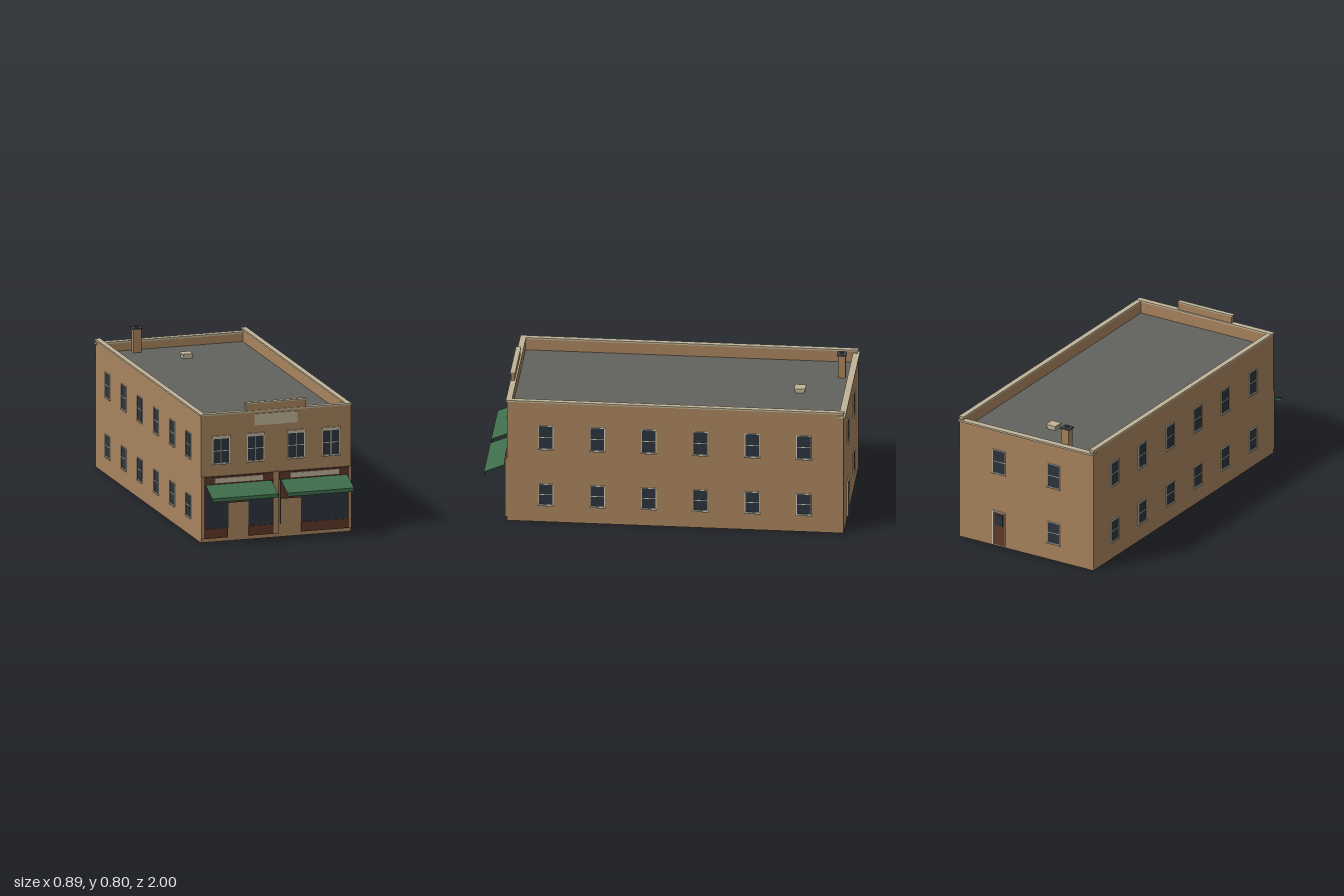
import * as THREE from 'three';

const mat = (name, color) => {
  const m = new THREE.MeshStandardMaterial({ color });
  m.name = name;
  return m;
};

export function createModel() {
  const brick = mat('tan brick', 0xa8835d);
  const stone = mat('cream stone', 0xbfb398);
  const trim = mat('pale window trim', 0xc9c6b4);
  const glass = mat('dark glass', 0x2c343d);
  const wood = mat('brown wood', 0x5e3829);
  const canvas = mat('green canvas', 0x3f6e4c);
  const tar = mat('grey roofing', 0x62625d);
  const slate = mat('dark slate', 0x45464a);

  const model = new THREE.Group();
  model.name = 'shopBuilding';

  // Box given by its extents
  const box = (name, m, x0, x1, y0, y1, z0, z1, parent = model) => {
    const mesh = new THREE.Mesh(new THREE.BoxGeometry(x1 - x0, y1 - y0, z1 - z0), m);
    mesh.position.set((x0 + x1) / 2, (y0 + y1) / 2, (z0 + z1) / 2);
    mesh.name = name;
    parent.add(mesh);
    return mesh;
  };

  // Body, roof and parapets
  const W = 0.435, F = 0.87, B = -0.99, T = 0.024;
  box('body', brick, -W, W, 0, 0.645, B, F);
  box('roof', tar, -W + T, W - T, 0.645, 0.65, B + T, F - T);
  box('frontParapet', brick, -W, W, 0.645, 0.717, F - T, F);
  box('backParapet', brick, -W, W, 0.645, 0.695, B, B + T);
  box('frontCoping', stone, -W - 0.004, W + 0.004, 0.717, 0.726, F - T - 0.003, F + 0.006);
  box('backCoping', stone, -W - 0.005, W + 0.005, 0.695, 0.705, -1, B + T + 0.003);
  for (const s of [-1, 1]) {
    const side = (name, m, a, b, y0, y1, z0, z1) =>
      box(name, m, Math.min(s * a, s * b), Math.max(s * a, s * b), y0, y1, z0, z1);
    side('sideParapet', brick, W - T, W, 0.645, 0.716, B + 0.002, F - T);
    side('sideCoping', stone, W - T - 0.003, W + 0.003, 0.716, 0.725, B - 0.002, F - T - 0.003);
  }

  // Raised centre of the front parapet
  box('pediment', brick, -0.175, 0.173, 0.726, 0.766, 0.852, 0.872);
  box('pedimentCoping', stone, -0.178, 0.176, 0.766, 0.773, 0.849, 0.877);
  box('nameBoard', stone, -0.125, 0.123, 0.642, 0.707, F, 0.876);

  // Chimney and roof hatch
  box('chimney', brick, -0.243, -0.197, 0.65, 0.78, -0.941, -0.899);
  box('chimneyCap', slate, -0.248, -0.192, 0.78, 0.788, -0.946, -0.894);
  box('chimneyPot', slate, -0.229, -0.211, 0.788, 0.798, -0.929, -0.911);
  box('hatchBase', stone, -0.026, 0.026, 0.65, 0.668, -0.736, -0.684);
  box('hatchLid', stone, -0.031, 0.031, 0.668, 0.677, -0.741, -0.679);

  // Place a wall fitting that was built facing +z
  const place = (g, x, z, turn) => {
    g.position.set(x, 0, z);
    g.rotation.y = turn;
    model.add(g);
  };

  // Sash window: pane, four-sided frame, bars, sill and optional lintel
  const sash = (name, x, z, turn, w, y0, y1, fancy) => {
    const g = new THREE.Group();
    g.name = name;
    const h = w / 2, t = 0.004, d = 0.005, mid = (y0 + y1) / 2;
    box('pane', glass, -h + t, h - t, y0 + t, y1 - t, -0.001, 0.002, g);
    for (const s of [-1, 1]) {
      box('stile', trim, s * (h - t / 2) - t / 2, s * (h - t / 2) + t / 2, y0, y1, -0.001, d, g);
    }
    box('topRail', trim, -h + t, h - t, y1 - t, y1, -0.001, d, g);
    box('bottomRail', trim, -h + t, h - t, y0, y0 + t, -0.001, d, g);
    box('meetingRail', trim, -h + t, h - t, mid - 0.002, mid + 0.002, -0.001, 0.004, g);
    if (fancy) {
      box('mullion', trim, -0.002, 0.002, y0 + t, y1 - t, -0.001, 0.0045, g);
      box('lintel', stone, -h - 0.004, h + 0.004, y1, y1 + 0.014, -0.001, 0.008, g);
    }
    box('sill', stone, -h - 0.003, h + 0.003, y0 - 0.005, y0, -0.001, 0.008, g);
    place(g, x, z, turn);
  };

  for (const x of [-0.318, -0.118, 0.117, 0.318]) {
    sash('frontWindow', x, F, 0, 0.099, 0.441, 0.586, true);
  }
  for (let i = 0; i < 6; i++) {
    const z = 0.655 - i * 0.285;
    for (const s of [-1, 1]) {
      sash('upperSideWindow', s * W, z, s * Math.PI / 2, 0.083, 0.439, 0.58, false);
      sash('lowerSideWindow', s * W, z, s * Math.PI / 2, 0.083, 0.102, 0.229, false);
    }
  }
  for (const x of [-0.177, 0.177]) {
    sash('upperBackWindow', x, B, Math.PI, 0.083, 0.439, 0.58, false);
  }
  sash('lowerBackWindow', -0.177, B, Math.PI, 0.083, 0.102, 0.229, false);

  // Back door
  const door = new THREE.Group();
  door.name = 'backDoor';
  box('doorLeaf', wood, -0.037, 0.037, 0.008, 0.205, -0.001, 0.003, door);
  box('doorPane', glass, -0.025, 0.025, 0.125, 0.19, 0.002, 0.005, door);
  for (const s of [-1, 1]) box('doorJamb', trim, s * 0.0395 - 0.0025, s * 0.0395 + 0.0025, 0.008, 0.21, -0.001, 0.006, door);
  box('doorHead', trim, -0.037, 0.037, 0.205, 0.21, -0.001, 0.006, door);
  place(door, 0.177, B, Math.PI);

  // Shop front pilasters
  for (const [x0, x1] of [[-W, -0.42], [-0.018, 0.016], [0.42, W]]) {
    box('pilaster', brick, x0, x1, 0.022, 0.373, F, 0.88);
  }

  // Awning: sloping sheet with a short valance, extruded across x
  const awning = (x0, x1) => {
    const shape = new THREE.Shape([
      [0.878, 0.328], [1, 0.277], [1, 0.256], [0.995, 0.256], [0.995, 0.272], [0.878, 0.321],
    ].map(([z, y]) => new THREE.Vector2(z, y)));
    const geo = new THREE.ExtrudeGeometry(shape, { depth: x1 - x0, bevelEnabled: false });
    geo.rotateY(-Math.PI / 2).translate(x1, 0, 0);
    const mesh = new THREE.Mesh(geo, canvas);
    mesh.name = 'awning';
    model.add(mesh);
  };

  // Two shop fronts: fascia, sign, header over the doorway, glazing and panels below
  const shops = [
    { x: [-0.42, -0.018], sign: [-0.36, -0.08], door: [-0.28, -0.16], awn: [-0.41, -0.028],
      panes: [[-0.415, -0.276], [-0.16, -0.022]], bases: [[-0.42, -0.28], [-0.16, -0.018]] },
    { x: [0.016, 0.42], sign: [0.078, 0.358], door: [0.025, 0.145], awn: [0.025, 0.41],
      panes: [[0.024, 0.027], [0.145, 0.415]], bases: [[0.145, 0.42]] },
  ];
  for (const s of shops) {
    box('fascia', wood, s.x[0], s.x[1], 0.327, 0.37, F, 0.884);
    box('signBoard', stone, s.sign[0], s.sign[1], 0.335, 0.362, 0.884, 0.889);
    box('doorHeader', wood, s.door[0], s.door[1], 0.216, 0.327, F, 0.878);
    for (const [a, b] of s.panes) box('shopWindow', glass, a, b, 0.076, 0.327, F, 0.875);
    for (const [a, b] of s.bases) box('panelBelowWindow', wood, a, b, 0.022, 0.076, F, 0.88);
    const outer = s.x[0] < -0.1 ? -0.4175 : 0.4175;
    box('outerJamb', wood, outer - 0.0025, outer + 0.0025, 0.076, 0.327, F, 0.88);
    awning(...s.awn);
  }
  box('innerJamb', wood, -0.022, -0.018, 0.076, 0.327, F, 0.878);

  return model;
}
